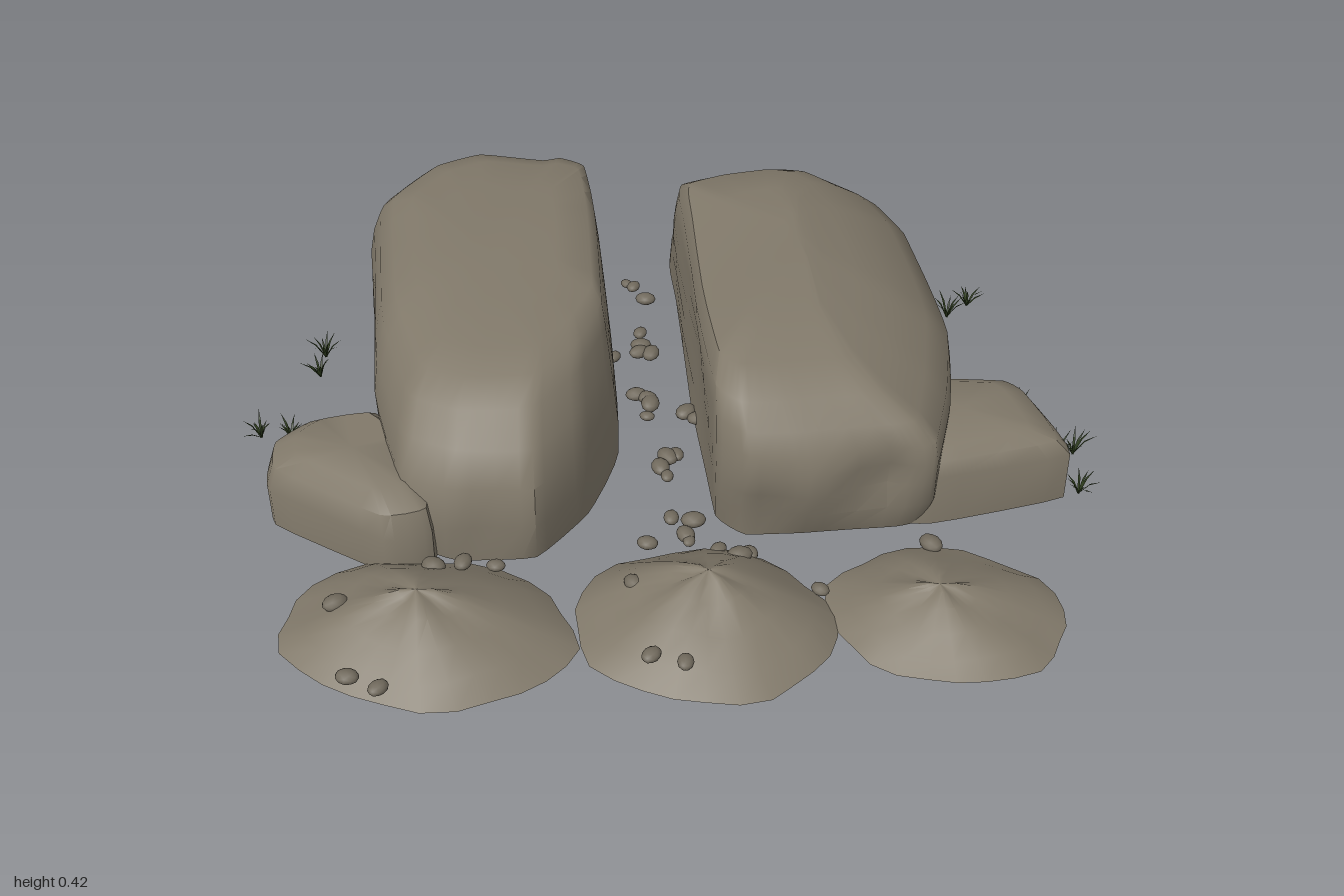
import * as THREE from 'three';
import { toCreasedNormals } from 'three/addons/utils/BufferGeometryUtils.js';

const stone = new THREE.MeshStandardMaterial({ name: 'stone', color: 0x81796a, side: THREE.DoubleSide });
const pebbleStone = new THREE.MeshStandardMaterial({ name: 'pebble stone', color: 0x716a5d });
const grass = new THREE.MeshStandardMaterial({ name: 'grass', color: 0x2c3a1c, side: THREE.DoubleSide });

let seed = 7;
const rand = () => (seed = (seed * 16807) % 2147483647) / 2147483647;

// Hollow shell: skin stacked rings of points and close the top at a tip
function shell(name, rings, tip, crease) {
  const n = rings[0].length, pos = rings.flat(2), idx = [];
  const top = rings.length * n;
  pos.push(...tip);
  for (let r = 0; r < rings.length - 1; r++) {
    for (let i = 0; i < n; i++) {
      const a = r * n + i, b = r * n + (i + 1) % n;
      idx.push(a, a + n, b, b, a + n, b + n);
    }
  }
  for (let i = 0; i < n; i++) idx.push(top - n + i, top, top - n + (i + 1) % n);
  const g = new THREE.BufferGeometry();
  g.setAttribute('position', new THREE.Float32BufferAttribute(pos, 3));
  g.setIndex(idx);
  const mesh = new THREE.Mesh(toCreasedNormals(g, crease), stone);
  mesh.name = name;
  return mesh;
}

// Rock from a ground outline [x, z] and layers [y, back, front, -x side, +x side insets];
// skew slants the long axis, dents are [x, y, z, radius, dx, dz]
function rock(name, outline, layers, { skew = 0, rough = 0.004, dents = [] } = {}) {
  const steps = outline.length * 4;
  const curve = new THREE.CatmullRomCurve3(
    outline.map(([x, z]) => new THREE.Vector3(x - skew * z, 0, z)), true, 'catmullrom', 0.18);
  const pts = curve.getPoints(steps).slice(0, steps);
  const box = new THREE.Box3().setFromPoints(pts);
  const fit = (t, a, b, lo, hi) => a + lo + (t - a) / (b - a) * (b - a - lo - hi);
  const place = (p, [y, back, front, left, right]) => {
    const z = fit(p.z, box.min.z, box.max.z, back, front);
    const x = fit(p.x, box.min.x, box.max.x, left, right) + skew * z;
    const q = [x + rough * Math.sin(9 * z + 14 * y), y, z + rough * Math.sin(13 * x + 17 * y)];
    if (y > 0.3) q[1] += rough * 1.4 * Math.sin(7 * x + 8 * z);
    for (const [dx, dy, dz, r, px, pz] of dents) {
      const w = Math.exp(-((x - dx) ** 2 + (y - dy) ** 2 + (z - dz) ** 2) / (r * r));
      q[0] += px * w;
      q[2] += pz * w;
    }
    return q;
  };
  const rings = layers.map(l => pts.map(p => place(p, l)));
  const last = rings[rings.length - 1];
  const tip = [0, 1, 2].map(k => last.reduce((s, p) => s + p[k], 0) / steps);
  return shell(name, rings, tip, 0.7);
}

// Low mound with an uneven rim, rising to a peak
function mound(name, x0, x1, z0, z1, [px, py, pz], phase) {
  const n = 26, cx = (x0 + x1) / 2, cz = (z0 + z1) / 2;
  const rings = [[1, 0], [0.8, 0.27], [0.55, 0.55], [0.3, 0.79], [0.12, 0.93]].map(([s, h]) =>
    Array.from({ length: n }, (_, i) => {
      const a = i / n * Math.PI * 2;
      const wob = 0.985 + 0.03 * Math.sin(5 * a + phase) + 0.015 * Math.sin(9 * a + 2 * phase);
      const x = cx + Math.cos(a) * (x1 - x0) / 2 * wob, z = cz + Math.sin(a) * (z1 - z0) / 2 * wob;
      const lump = h ? 0.006 * Math.sin(4 * a + phase * 2 + s * 3) : 0;
      return [px + (x - px) * s, py * h + lump, pz + (z - pz) * s];
    }));
  return shell(name, rings, [px, py, pz], 0.8);
}

// Tuft of thin bent blades fanning outward
function tuft(x, z) {
  const pos = [];
  for (let i = 0; i < 10; i++) {
    const a = i / 10 * Math.PI * 2 + rand() * 0.5, reach = 0.022 + rand() * 0.028, h = 0.03 + rand() * 0.035;
    const c = Math.cos(a), s = Math.sin(a), w = 0.0028;
    const mid = [c * reach * 0.45, h * 0.65, s * reach * 0.45];
    const A = [-s * w, 0, c * w], B = [s * w, 0, -c * w];
    const C = [mid[0] - s * w, mid[1], mid[2] + c * w], D = [mid[0] + s * w, mid[1], mid[2] - c * w];
    pos.push(...A, ...B, ...C, ...B, ...D, ...C, ...C, ...D, c * reach, h, s * reach);
  }
  const g = new THREE.BufferGeometry();
  g.setAttribute('position', new THREE.Float32BufferAttribute(pos, 3));
  g.computeVertexNormals();
  const mesh = new THREE.Mesh(g, grass);
  mesh.name = 'grassTuft';
  mesh.position.set(x, 0, z);
  return mesh;
}

export function createModel() {
  const model = new THREE.Group();
  model.name = 'splitBoulder';

  // Two halves of the boulder, with flat walls either side of a slanting cleft
  model.add(rock('leftBoulder',
    [[-0.11, -0.79], [0.03, -0.88], [0.2, -0.945], [0.29, -0.945], [0.39, -0.88], [0.48, -0.73], [0.54, -0.53], [0.61, -0.26],
      [0.63, 0], [0.62, 0.22], [0.56, 0.26], [0.35, 0.32], [0.22, 0.34], [0.14, 0.28], [0.065, 0], [-0.105, -0.68]],
    [[0, 0, 0.04, 0, 0.02], [0.08, 0.01, 0.01, 0, 0], [0.14, 0.07, 0, 0, 0], [0.2, 0.13, 0, 0, 0],
      [0.25, 0.17, 0.015, 0, 0.01], [0.3, 0.215, 0.035, 0, 0.065], [0.35, 0.26, 0.08, 0.002, 0.15],
      [0.385, 0.32, 0.16, 0.02, 0.23], [0.405, 0.43, 0.32, 0.11, 0.3], [0.415, 0.55, 0.52, 0.24, 0.33]],
    { skew: 0.25, dents: [[0.5, 0.16, 0.27, 0.07, -0.01, -0.05], [0.25, 0.1, 0.33, 0.07, 0, -0.02]] }));
  model.add(rock('rightBoulder',
    [[-0.75, -0.63], [-0.64, -0.72], [-0.45, -0.73], [-0.40, -0.755], [-0.32, -0.71], [-0.22, -0.34], [-0.12, 0.07],
      [-0.15, 0.3], [-0.23, 0.46], [-0.4, 0.495], [-0.53, 0.45], [-0.66, 0.17], [-0.83, -0.4], [-0.8, -0.52]],
    [[0, 0.02, 0.02, 0, 0], [0.1, 0, 0, 0, 0], [0.2, 0.02, 0.02, 0.003, 0.003], [0.27, 0.04, 0.07, 0.015, 0.008],
      [0.33, 0.07, 0.14, 0.035, 0.014], [0.37, 0.11, 0.21, 0.07, 0.02], [0.39, 0.17, 0.3, 0.12, 0.04],
      [0.4, 0.3, 0.42, 0.18, 0.12], [0.405, 0.5, 0.55, 0.27, 0.24]],
    { skew: 0.25, dents: [[-0.5, 0.15, -0.73, 0.08, 0, 0.03], [-0.35, 0.1, 0.47, 0.08, 0, -0.02]] }));

  // Smaller slabs leaning on the outer sides
  model.add(rock('leftSlab',
    [[0.5, -0.12], [0.63, -0.13], [0.78, -0.145], [0.83, -0.11], [0.915, 0.07], [0.62, 0.2], [0.5, 0.2]],
    [[0, 0, 0, 0, 0], [0.13, 0, 0, 0, 0.002], [0.165, 0.012, 0.012, 0.01, 0.035], [0.185, 0.05, 0.05, 0.05, 0.1]],
    { rough: 0.002 }));
  model.add(rock('rightSlab',
    [[-0.87, 0.32], [-0.81, 0.23], [-0.66, 0.17], [-0.5, 0.3], [-0.45, 0.5], [-0.55, 0.54], [-0.84, 0.42]],
    [[0, 0, 0, 0, 0], [0.1, 0, 0, 0, 0], [0.155, 0.015, 0.02, 0.018, 0.015], [0.185, 0.05, 0.07, 0.07, 0.07]],
    { rough: 0.002 }));

  // Mounds along the front
  model.add(mound('rightMound', -0.74, -0.10, 0.48, 0.92, [-0.43, 0.135, 0.71], 1));
  model.add(mound('middleMound', -0.13, 0.44, 0.36, 0.82, [0.16, 0.14, 0.57], 2.4));
  model.add(mound('leftMound', 0.40, 0.92, 0.28, 0.69, [0.64, 0.1, 0.5], 4));

  // Pebbles in the cleft and scattered over the mounds: [x, z, y]
  const pebbles = [
    [-0.21, -0.6], [-0.19, -0.59], [-0.15, -0.54], [-0.14, -0.39], [-0.13, -0.34], [-0.13, -0.31], [-0.1, -0.31], [-0.19, -0.28],
    [-0.11, -0.14], [-0.08, -0.13], [-0.07, -0.11], [-0.07, -0.06], [0.02, -0.09], [0.05, -0.07], [0, 0.08], [0.02, 0.07],
    [-0.01, 0.12], [0.01, 0.15], [0.04, 0.29], [0.09, 0.29], [0.08, 0.34], [0.09, 0.36], [0, 0.38], [0.16, 0.4, 0.04],
    [0.21, 0.43, 0.06], [0.23, 0.4, 0.04], [0, 0.56, 0.07], [0.07, 0.77, 0.08], [0.14, 0.77, 0.07], [0.39, 0.47, 0.02],
    [-0.31, 0.52, 0.04], [-0.38, 0.53, 0.05], [-0.44, 0.55, 0.05], [-0.61, 0.71, 0.07], [-0.53, 0.9, 0.06],
    [-0.46, 0.92, 0.06], [0.62, 0.29, 0.02]];
  const pebbleShape = new THREE.IcosahedronGeometry(1, 1);
  for (const [x, z, y = 0.02] of pebbles) {
    const p = new THREE.Mesh(pebbleShape, pebbleStone);
    p.name = 'pebble';
    const r = 0.015 + rand() * 0.011;
    p.scale.set(r * 1.15, r * 0.65, r * 0.9);
    p.rotation.y = rand() * 6;
    p.position.set(x, y, z);
    model.add(p);
  }

  // Grass tufts around the edges
  const tufts = [[-0.81, -0.62], [-0.81, -0.48], [-0.91, -0.2], [-0.9, -0.12], [-0.97, 0.13], [-0.9, 0.12], [0.63, -0.6],
    [0.68, -0.66], [0.81, -0.22], [0.9, -0.07], [0.94, -0.09], [0.95, 0.05], [0.48, -0.74]];
  for (const [x, z] of tufts) model.add(tuft(x, z));
  return model;
}
